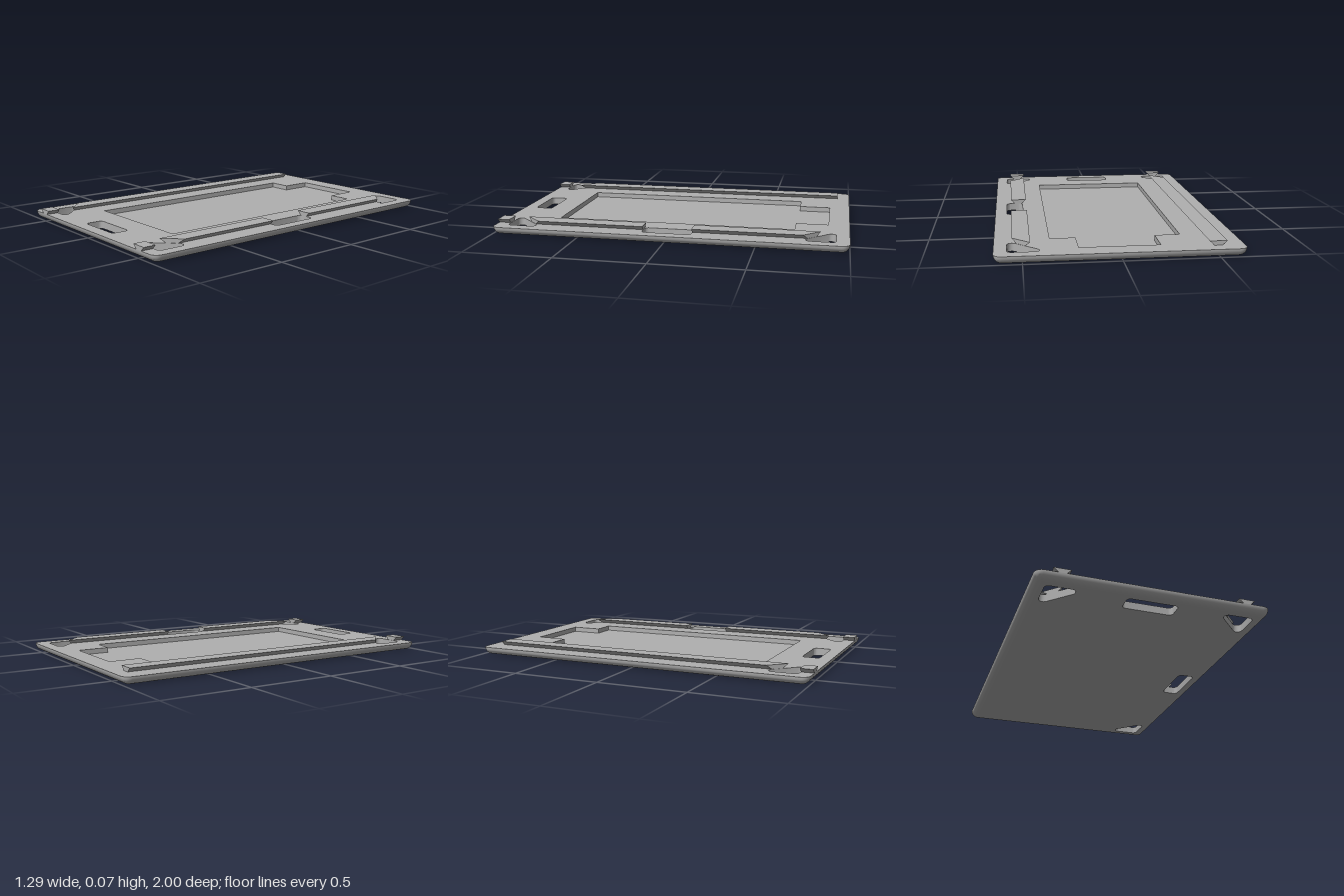
import * as THREE from 'three';
import { toCreasedNormals } from 'three/addons/utils/BufferGeometryUtils.js';

const TOP = 0.043, POCKET_FLOOR = 0.014, RAIL_TOP = 0.067;
const EDGE = 0.042; // rounding of the plate's lower edge

// Loops are plan outlines, counter-clockwise from above, with v = -z.
const V = (x, v) => new THREE.Vector2(x, v);

// Outline of a convex polygon grown by radius r with round corners
function roundLoop(centres, r, steps = 6) {
  const n = centres.length, out = [];
  const normalAngle = (a, b) => Math.atan2(-(b.x - a.x), b.y - a.y);
  centres.forEach((c, i) => {
    const a0 = normalAngle(centres[(i + n - 1) % n], c);
    let a1 = normalAngle(c, centres[(i + 1) % n]);
    if (a1 < a0) a1 += Math.PI * 2;
    for (let k = 0; k <= steps; k++) {
      const a = a0 + (a1 - a0) * k / steps;
      out.push(V(c.x + r * Math.cos(a), c.y + r * Math.sin(a)));
    }
  });
  return out;
}

const rectCentres = (x0, x1, v0, v1, r) =>
  [V(x0 + r, v0 + r), V(x1 - r, v0 + r), V(x1 - r, v1 - r), V(x0 + r, v1 - r)];
const roundRect = (x0, x1, v0, v1, r) => roundLoop(rectCentres(x0, x1, v0, v1, r), r);

// Rounded corner triangle; sx and sv choose the corner of the plate
function cornerTriangle(sx, sv) {
  const pts = [V(sx * 0.552, sv * 0.903), V(sx * 0.437, sv * 0.903), V(sx * 0.552, sv * 0.79)];
  return roundLoop(sx * sv > 0 ? pts : pts.reverse(), 0.025);
}

// Skin joining rings of equal length, listed from bottom to top
function loft(rings) {
  const n = rings[0].loop.length, pos = [], index = [];
  for (const { loop, y } of rings) for (const p of loop) pos.push(p.x, y, -p.y);
  for (let j = 0; j < rings.length - 1; j++) {
    for (let i = 0; i < n; i++) {
      const a = j * n + i, b = j * n + (i + 1) % n;
      index.push(a, b, b + n, a, b + n, a + n);
    }
  }
  const g = new THREE.BufferGeometry();
  g.setAttribute('position', new THREE.Float32BufferAttribute(pos, 3));
  g.setIndex(index);
  return toCreasedNormals(g, 0.6);
}

// Flat face with holes at height y
function face(loop, holes, y, down = false) {
  const shape = new THREE.Shape(loop);
  shape.holes = holes.map(h => new THREE.Path(h));
  const g = new THREE.ShapeGeometry(shape);
  g.rotateX(-Math.PI / 2).translate(0, y, 0);
  if (down) {
    g.setIndex(Array.from(g.index.array).reverse());
    g.computeVertexNormals();
  }
  return g;
}

// Dovetail bar on side s whose ends follow z = start(x) and z = end(x)
function dovetail(s, start, end) {
  const c = s * 0.505, w = 0.047, n = 0.022;
  const shape = new THREE.Shape([
    V(c - n, TOP), V(c + n, TOP), V(c + w, RAIL_TOP), V(c - w, RAIL_TOP),
  ]);
  const g = new THREE.ExtrudeGeometry(shape, { depth: 1, bevelEnabled: false });
  const p = g.attributes.position;
  for (let i = 0; i < p.count; i++) {
    const x = Math.abs(p.getX(i));
    p.setZ(i, p.getZ(i) < 0.5 ? start(x) : end(x));
  }
  g.computeVertexNormals();
  return g;
}

export function createModel() {
  const grey = new THREE.MeshStandardMaterial({ color: 0xb0b0b0 });
  grey.name = 'grey';
  const model = new THREE.Group();
  model.name = 'railPlate';
  const add = (name, geometry, parent = model) => {
    const mesh = new THREE.Mesh(geometry, grey);
    mesh.name = name;
    parent.add(mesh);
  };

  // Openings that go right through the plate
  const openings = {
    frontSlot: roundRect(-0.142, 0.142, -0.93, -0.83, 0.022),
    sideSlot: roundRect(0.48, 0.577, -0.138, 0.142, 0.025),
    frontLeftTriangle: cornerTriangle(1, -1),
    frontRightTriangle: cornerTriangle(-1, -1),
    backLeftTriangle: cornerTriangle(1, 1),
  };
  const holes = Object.values(openings);

  // Stepped pocket outline
  const pocket = [
    V(-0.352, -0.687), V(0.352, -0.687), V(0.352, 0.695), V(0.213, 0.695),
    V(0.213, 0.88), V(-0.213, 0.88), V(-0.213, 0.695), V(-0.352, 0.695),
  ];

  // Plate with a rounded lower edge
  const plate = new THREE.Group();
  plate.name = 'plate';
  model.add(plate);
  const centres = rectCentres(-0.645, 0.645, -1, 1, 0.044);
  const rings = [];
  for (let k = 0; k <= 8; k++) {
    const a = k / 8 * Math.PI / 2;
    rings.push({ loop: roundLoop(centres, 0.044 - EDGE * (1 - Math.sin(a))), y: TOP * (1 - Math.cos(a)) });
  }
  add('roundedEdge', loft(rings), plate);
  add('topFace', face(rings[8].loop, [...holes, pocket], TOP), plate);
  add('bottomFace', face(rings[0].loop, holes, 0, true), plate);

  // Inward-facing walls of the openings and the pocket
  const wall = (loop, y) => {
    const inward = [...loop].reverse();
    return loft([{ loop: inward, y }, { loop: inward, y: TOP }]);
  };
  for (const [name, loop] of Object.entries(openings)) add(name + 'Wall', wall(loop, 0), plate);
  add('pocketWall', wall(pocket, POCKET_FLOOR), plate);
  add('pocketFloor', face(pocket, [], POCKET_FLOOR), plate);

  // Dovetail rails, interrupted by the corner triangles and the side slot
  const at = z => () => z;
  const frontCut = x => 1.303 - x, backCut = x => x - 1.303;
  add('rightRail', dovetail(-1, at(-0.925), frontCut));
  add('leftRailBack', dovetail(1, backCut, at(-0.142)));
  add('leftRailFront', dovetail(1, at(0.138), frontCut));
  for (const s of [-1, 1]) add(s < 0 ? 'rightRailEnd' : 'leftRailEnd', dovetail(s, at(0.93), at(1)));

  return model;
}
